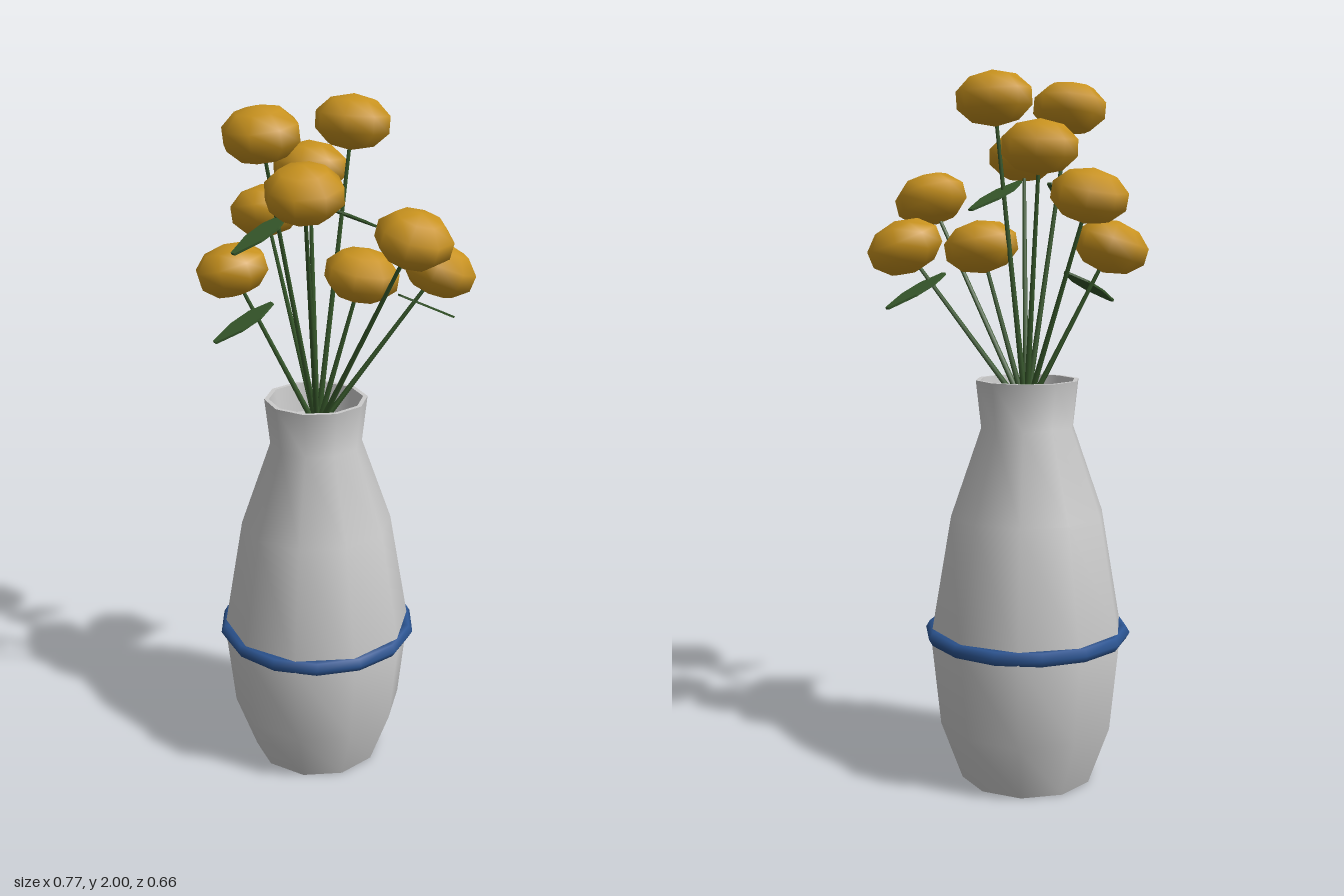
import * as THREE from 'three';

const mat = (color) => new THREE.MeshStandardMaterial({ color, side: THREE.DoubleSide });
const UP = new THREE.Vector3(0, 1, 0);
const v = (x, y, z) => new THREE.Vector3(x, y, z);

export function createModel() {
  const model = new THREE.Group();
  const grey = mat(0xcccccc), blue = mat(0x2c5592), gold = mat(0xc8921e), green = mat(0x37592b);
  const cx = -0.05, cz = -0.045;

  const add = (parent, name, geometry, material) => {
    const mesh = new THREE.Mesh(geometry, material);
    mesh.name = name;
    parent.add(mesh);
    return mesh;
  };

  // Vase: ten-sided body with a flared lip and a shallow filled mouth
  const profile = [
    [0, 0], [0.193, 0], [0.193, 0], [0.255, 0.17], [0.282, 0.43], [0.222, 0.78],
    [0.134, 1.03], [0.149, 1.165], [0.149, 1.165], [0.136, 1.165], [0.136, 1.165],
    [0.126, 1.08], [0.126, 1.08], [0, 1.08],
  ].map(([r, y]) => new THREE.Vector2(r, y));
  // Separate lathes keep the foot and the rim crisp
  const vase = new THREE.Group();
  vase.name = 'vase';
  vase.position.set(cx, 0, cz);
  model.add(vase);
  [['vaseFoot', 0, 2], ['vaseBody', 2, 8], ['vaseRim', 8, 10], ['vaseMouth', 10, 12], ['vaseFill', 12, 14]]
    .forEach(([name, a, b]) => add(vase, name, new THREE.LatheGeometry(profile.slice(a, b), 10), grey));

  // Band around the widest part
  const band = add(model, 'band', new THREE.TorusGeometry(0.275, 0.022, 6, 14), blue);
  band.rotation.x = Math.PI / 2;
  band.position.set(cx, 0.434, cz);

  // Flowers: flattened heads that lean outward on straight thin stems
  const root = v(-0.045, 1.07, -0.04);
  const headGeometry = new THREE.SphereGeometry(0.108, 8, 5).scale(1, 0.69, 1);
  const heads = [
    [-0.155, 1.925, 0.115], [0.035, 1.93, -0.125], [-0.09, 1.8, -0.15],
    [-0.015, 1.8, 0.225], [-0.225, 1.67, -0.175], [0.245, 1.67, 0.1],
    [-0.28, 1.535, -0.01], [0.083, 1.535, -0.03], [0.28, 1.535, -0.14],
  ];
  heads.forEach((p, i) => {
    const flower = new THREE.Group();
    flower.name = 'flower' + (i + 1);
    model.add(flower);
    const top = v(...p);
    const dir = top.clone().sub(root);
    const length = dir.length();
    dir.normalize();

    const stem = add(flower, 'stem', new THREE.CylinderGeometry(0.005, 0.009, length, 5), green);
    stem.position.copy(root).lerp(top, 0.5);
    stem.quaternion.setFromUnitVectors(UP, dir);

    const head = add(flower, 'flowerHead', headGeometry, gold);
    head.position.copy(top);
    head.quaternion.setFromUnitVectors(UP, dir.clone().lerp(UP, 0.4).normalize());
  });

  // Leaves: thin pointed blades drooping away from the stems
  const leafShape = new THREE.Shape([
    [0.008, 0], [0.036, 0.3], [0.036, 0.62], [0.008, 1],
    [-0.008, 1], [-0.036, 0.62], [-0.036, 0.3], [-0.008, 0],
  ].map(([x, y]) => new THREE.Vector2(x, y)));
  const leaves = [
    [v(-0.1, 1.71, 0.07), v(-0.21, 1.63, 0.205)],
    [v(-0.03, 1.71, -0.06), v(0.09, 1.63, -0.2)],
    [v(-0.15, 1.46, 0.045), v(-0.28, 1.375, 0.165)],
    [v(0.175, 1.46, -0.11), v(0.31, 1.37, -0.24)],
  ];
  leaves.forEach(([start, end], i) => {
    const along = end.clone().sub(start);
    const side = along.clone().cross(UP).normalize();
    const normal = side.clone().cross(along).normalize();
    const geometry = new THREE.ExtrudeGeometry(leafShape, { depth: 0.006, bevelEnabled: false });
    geometry.applyMatrix4(new THREE.Matrix4().makeBasis(side, along, normal).setPosition(start));
    add(model, 'leaf' + (i + 1), geometry, green);
  });

  return model;
}
